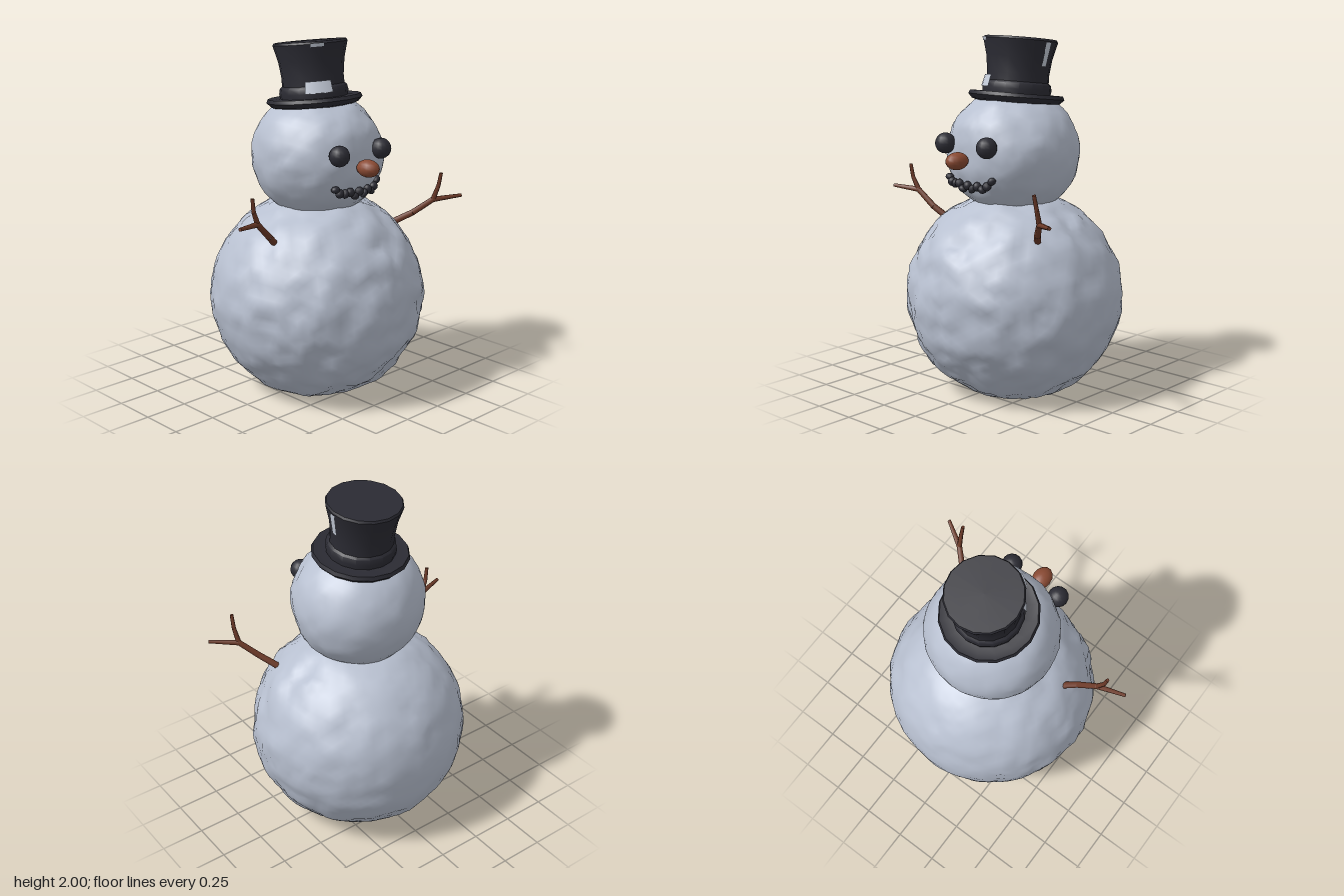
import * as THREE from 'three';
import { mergeVertices, toCreasedNormals } from 'three/addons/utils/BufferGeometryUtils.js';

const mat = (name, color, side = THREE.FrontSide) => {
  const m = new THREE.MeshStandardMaterial({ color, side });
  m.name = name;
  return m;
};

// Seeded value noise in -1..1
const hash = (x, y, z) => {
  const s = Math.sin(x * 127.1 + y * 311.7 + z * 74.7) * 43758.5453;
  return (s - Math.floor(s)) * 2 - 1;
};
function noise(x, y, z) {
  const [i, j, k] = [x, y, z].map(Math.floor);
  const [u, v, w] = [x - i, y - j, z - k].map((t) => t * t * (3 - 2 * t));
  let sum = 0;
  for (let a = 0; a < 2; a++)
    for (let b = 0; b < 2; b++)
      for (let c = 0; c < 2; c++)
        sum += hash(i + a, j + b, k + c) * (a ? u : 1 - u) * (b ? v : 1 - v) * (c ? w : 1 - w);
  return sum;
}

// Lumpy ellipsoid, rougher towards the front
function lumpyBall(rx, ry, rz, detail, rough, freq, shape) {
  let g = new THREE.IcosahedronGeometry(1, detail);
  g.deleteAttribute('normal');
  g.deleteAttribute('uv');
  g = mergeVertices(g, 1e-4);
  const p = g.attributes.position;
  const v = new THREE.Vector3();
  for (let i = 0; i < p.count; i++) {
    v.fromBufferAttribute(p, i);
    const { x, y, z } = v;
    const amount = rough * (0.7 + 0.3 * z);
    const n = noise(x * freq + 9, y * freq + 5, z * freq + 3)
      + 0.6 * noise(x * freq * 2.3, y * freq * 2.3 + 40, z * freq * 2.3);
    v.multiplyScalar(1 + amount * n).multiply(new THREE.Vector3(rx, ry, rz));
    if (shape) shape(v);
    p.setXYZ(i, v.x, v.y, v.z);
  }
  g.computeVertexNormals();
  return g;
}

export function createModel() {
  const model = new THREE.Group();
  model.name = 'snowman';
  const snow = mat('snow', 0xb8c0d0);
  const snowPatch = mat('snow patch', 0xc4cbd8, THREE.DoubleSide);
  const felt = mat('black felt', 0x2b2b33);
  const coal = mat('coal', 0x2d2d35);
  const wood = mat('wood', 0x6e3b29);
  const carrot = mat('carrot', 0x8a4a33);

  const add = (parent, name, geo, material, x = 0, y = 0, z = 0) => {
    const m = new THREE.Mesh(geo, material);
    m.name = name;
    m.position.set(x, y, z);
    parent.add(m);
    return m;
  };

  // Body with a flat base, and head with a slightly flattened face
  add(model, 'body', lumpyBall(0.612, 0.6, 0.605, 17, 0.028, 6.5,
    (v) => { v.y = Math.max(v.y, -0.54); }), snow, 0.04, 0.54, 0);
  add(model, 'head', lumpyBall(0.37, 0.355, 0.36, 11, 0.024, 5,
    (v) => { if (v.z > 0.2) v.z += 0.35 * (0.36 - v.z) * (v.z - 0.2) / 0.16; }),
  snow, 0.035, 1.355, 0.003);

  // Eyes and nose
  add(model, 'rightEye', new THREE.SphereGeometry(0.057, 14, 10), coal, -0.145, 1.42, 0.36);
  add(model, 'leftEye', new THREE.SphereGeometry(0.057, 14, 10), coal, 0.168, 1.42, 0.366);
  const nose = add(model, 'nose', new THREE.SphereGeometry(1, 14, 10), carrot, 0.007, 1.342, 0.425);
  nose.scale.set(0.053, 0.048, 0.07);

  // Mouth: a crooked row of coal lumps
  const mouth = new THREE.Group();
  mouth.name = 'mouth';
  model.add(mouth);
  const lumps = [[-0.143, 1.232], [-0.118, 1.208], [-0.085, 1.203], [-0.05, 1.207], [-0.02, 1.182],
    [0.015, 1.203], [0.05, 1.187], [0.083, 1.203], [0.113, 1.19], [0.143, 1.208], [0.172, 1.238]];
  lumps.forEach(([x, y], i) => {
    const z = 0.355 - 1.0 * (x - 0.015) ** 2;
    const lump = add(mouth, 'mouthCoal', new THREE.IcosahedronGeometry(0.025, 1), coal, x, y, z);
    lump.scale.set(1.05, 0.8 + 0.2 * (i % 2), 0.9);
    lump.rotation.z = i * 0.7;
  });

  // Twig arms: a tapered stick with two twigs at the fork
  const stick = (parent, name, a, b, r0, r1) => {
    const [p, q] = [new THREE.Vector3(...a), new THREE.Vector3(...b)];
    const d = q.clone().sub(p);
    const m = add(parent, name, new THREE.CylinderGeometry(r1, r0, d.length(), 7), wood);
    m.position.copy(p).addScaledVector(d, 0.5);
    m.quaternion.setFromUnitVectors(new THREE.Vector3(0, 1, 0), d.normalize());
  };
  const arm = (name, base, mid, fork, up, out, upMid) => {
    const g = new THREE.Group();
    g.name = name;
    model.add(g);
    stick(g, 'lowerStick', base, mid, 0.02, 0.018);
    stick(g, 'upperStick', mid, fork, 0.018, 0.016);
    stick(g, 'twigBase', fork, upMid, 0.015, 0.012);
    stick(g, 'twigTip', upMid, up, 0.012, 0.01);
    stick(g, 'outerTwig', fork, out, 0.016, 0.01);
    add(g, 'fork', new THREE.SphereGeometry(0.017, 7, 5), wood, ...fork);
  };
  arm('rightArm', [-0.365, 0.925, 0.105], [-0.46, 1.0, 0.15], [-0.56, 1.092, 0.175],
    [-0.607, 1.24, 0.19], [-0.72, 1.105, 0.222], [-0.595, 1.165, 0.185]);
  arm('leftArm', [0.41, 0.925, 0.23], [0.49, 0.99, 0.325], [0.572, 1.068, 0.405],
    [0.578, 1.23, 0.455], [0.715, 1.085, 0.495], [0.58, 1.15, 0.435]);

  // Top hat, tilted backwards
  const hat = new THREE.Group();
  hat.name = 'hat';
  hat.position.set(0.035, 1.645, -0.015);
  hat.rotation.x = -0.115;
  model.add(hat);
  const lathe = (pts) => toCreasedNormals(
    new THREE.LatheGeometry(pts.map(([r, y]) => new THREE.Vector2(r, y)), 16), 0.7);
  add(hat, 'brim', lathe([[0, -0.02], [0.2, -0.025], [0.245, -0.012], [0.267, 0.012], [0.258, 0.032],
    [0.22, 0.026], [0.16, 0.03]]), felt);
  add(hat, 'crown', lathe([[0.175, 0.02], [0.172, 0.14], [0.183, 0.23], [0.207, 0.322],
    [0.2, 0.334], [0.0001, 0.336]]), felt);
  add(hat, 'hatBand', lathe([[0.186, 0.02], [0.192, 0.055], [0.186, 0.085], [0.17, 0.098]]), felt);

  // Thin patches of snow clinging to the hat: top radius, bottom radius, height, y, angle, width
  [[0.182, 0.198, 0.065, 0.09, -1.0, 0.8], [0.207, 0.182, 0.13, 0.25, 1.47, 0.2],
    [0.212, 0.206, 0.02, 0.316, -0.75, 0.35]].forEach(([rt, rb, h, y, start, width]) => {
    add(hat, 'hatSnow', new THREE.CylinderGeometry(rt, rb, h, 4, 1, true, start, width), snowPatch, 0, y, 0);
  });

  return model;
}
